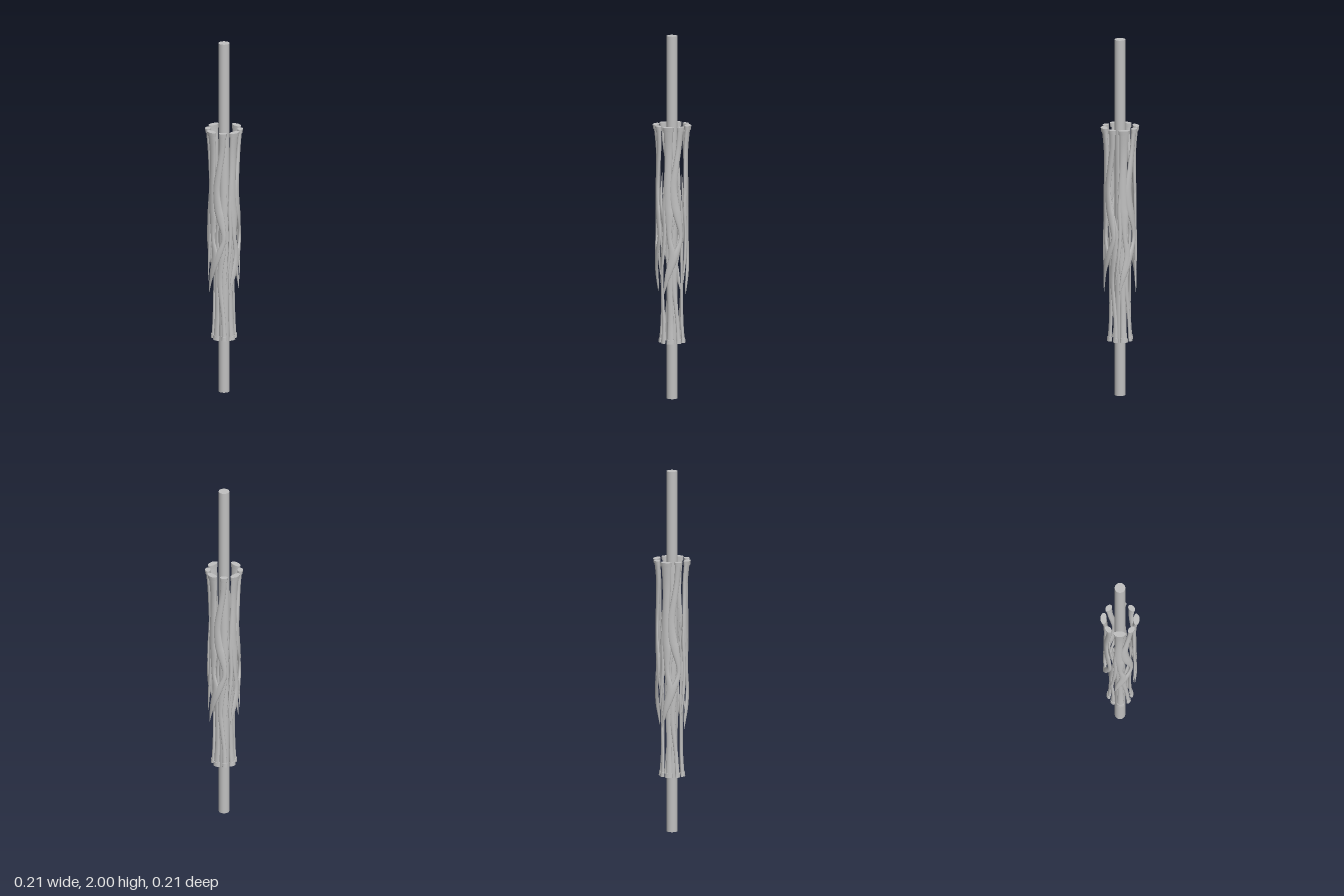
import * as THREE from 'three';

const SIDES = 14;

// Each row: height, angle round the axis, half width, radius, half thickness
const STRANDS = {
  wideStrand: [
    [1.51, -0.10, 0.027, 0.089, 0.013], [1.40, -0.11, 0.023, 0.079, 0.012], [1.30, -0.13, 0.021, 0.077, 0.011],
    [1.18, -0.19, 0.023, 0.079, 0.010], [1.08, -0.17, 0.025, 0.081, 0.009], [1.02, -0.07, 0.024, 0.082, 0.009],
    [0.90, -0.04, 0.013, 0.083, 0.008], [0.80, 0.15, 0.020, 0.084, 0.008], [0.70, -0.12, 0.016, 0.085, 0.007],
    [0.64, -0.29, 0.009, 0.085, 0.005], [0.58, -0.42, 0.001, 0.086, 0.001],
  ],
  narrowStrand: [
    [1.51, 0.70, 0.018, 0.087, 0.012], [1.40, 0.63, 0.016, 0.079, 0.011], [1.30, 0.44, 0.017, 0.077, 0.011],
    [1.18, 0.22, 0.021, 0.079, 0.010], [1.08, 0.34, 0.024, 0.081, 0.009], [1.02, 0.52, 0.023, 0.082, 0.009],
    [0.90, 0.76, 0.012, 0.083, 0.008], [0.80, 0.36, 0.019, 0.084, 0.008], [0.70, -0.06, 0.014, 0.085, 0.007],
    [0.64, -0.27, 0.008, 0.085, 0.005], [0.58, -0.42, 0.001, 0.086, 0.001],
  ],
  thinProng: [
    [1.22, -0.28, 0.006, 0.079, 0.006], [1.08, -0.40, 0.011, 0.081, 0.008], [0.92, -0.36, 0.010, 0.084, 0.007],
    [0.78, -0.47, 0.008, 0.086, 0.006], [0.64, -0.68, 0.001, 0.086, 0.001],
  ],
  wideFoot: [[1.51, -0.10, 0.033, 0.090, 0.017], [1.487, -0.10, 0.031, 0.088, 0.016]],
  narrowFoot: [[1.51, 0.70, 0.022, 0.088, 0.015], [1.487, 0.70, 0.021, 0.087, 0.014]],
};

// Sweeps an oval section, bent round the axis, through the rows
function strandGeometry(rows, { flip, scale, turn }) {
  const curve = new THREE.CubicInterpolant(rows.map((_, i) => i), rows.flat(), 5);
  const steps = rows.length > 2 ? (rows.length - 1) * 5 : 1;
  const pos = [], index = [];
  const tri = (a, b, c) => (flip ? index.push(a, c, b) : index.push(a, b, c));
  const ring = (s) => {
    const [y, angle, w, r, t] = curve.evaluate(s * (rows.length - 1) / steps);
    const height = flip ? 1.82 - y : y;
    const first = pos.length / 3;
    for (let j = 0; j < SIDES; j++) {
      const p = j / SIDES * Math.PI * 2;
      const a = angle + turn + Math.cos(p) * w / r;
      const rad = (r + Math.sin(p) * t) * scale;
      pos.push(rad * Math.sin(a), height, rad * Math.cos(a));
    }
    return first;
  };
  for (let i = 0; i <= steps; i++) ring(i);
  for (let i = 0; i < steps; i++) {
    for (let j = 0; j < SIDES; j++) {
      const k = (j + 1) % SIDES;
      const a = i * SIDES + j, b = i * SIDES + k;
      tri(a, b, a + SIDES);
      tri(b, b + SIDES, a + SIDES);
    }
  }
  // flat ends with their own corners
  const start = ring(0), end = ring(steps);
  for (let j = 1; j < SIDES - 1; j++) {
    tri(start, start + j + 1, start + j);
    tri(end, end + j, end + j + 1);
  }
  const g = new THREE.BufferGeometry();
  g.setAttribute('position', new THREE.Float32BufferAttribute(pos, 3));
  g.setIndex(index);
  g.computeVertexNormals();
  return g;
}

// Four turned copies of every strand
function cage(name, material, options) {
  const group = new THREE.Group();
  group.name = name;
  for (const [part, rows] of Object.entries(STRANDS)) {
    const geometry = strandGeometry(rows, options);
    for (let q = 0; q < 4; q++) {
      const mesh = new THREE.Mesh(geometry, material);
      mesh.name = part;
      mesh.rotation.y = q * Math.PI / 2;
      group.add(mesh);
    }
  }
  return group;
}

export function createModel() {
  const model = new THREE.Group();
  model.name = 'branchingCageOnRod';
  const grey = new THREE.MeshStandardMaterial({ color: 0xc0c0c0 });
  grey.name = 'light grey';

  // central rod
  const rod = new THREE.Mesh(new THREE.CylinderGeometry(0.029, 0.029, 2, 32), grey);
  rod.name = 'centralRod';
  rod.position.y = 1;
  model.add(rod);

  // outer cage hangs from the top, inner cage rises from below
  model.add(cage('outerCage', grey, { flip: false, scale: 1, turn: 0 }));
  model.add(cage('innerCage', grey, { flip: true, scale: 0.69, turn: 0.1 }));
  return model;
}
